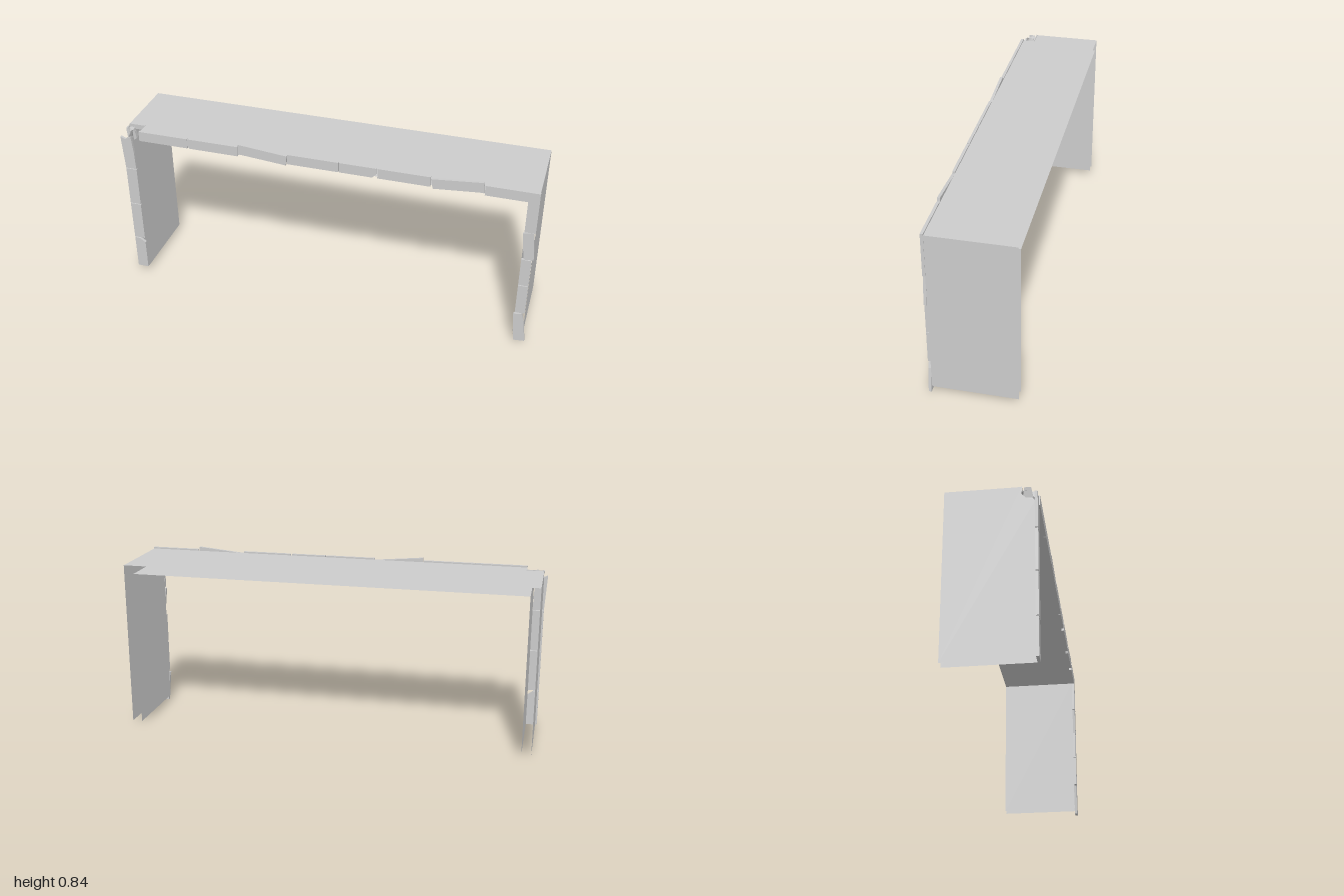
import * as THREE from 'three';

export function createModel() {
  const root = new THREE.Group();
  root.name = 'doorSurround';
  const solid = new THREE.MeshStandardMaterial({ color: 0xcccccc, flatShading: true });
  const sheet = new THREE.MeshStandardMaterial({ color: 0xcccccc, flatShading: true, side: THREE.DoubleSide });

  const outline = (pts) => new THREE.Shape(pts.map(([x, y]) => new THREE.Vector2(x, y)));
  const rect = (x0, x1, y0, y1) => [[x0, y0], [x1, y0], [x1, y1], [x0, y1]];

  function add(name, geometry, material, parent = root) {
    const mesh = new THREE.Mesh(geometry, material);
    mesh.name = name;
    parent.add(mesh);
    return mesh;
  }

  // Thin upright wall, outline given as (z, y)
  const wall = (name, x, pts) =>
    add(name, new THREE.ShapeGeometry(outline(pts)).rotateY(-Math.PI / 2).translate(x, 0, 0), sheet);
  // Thin level slab, outline given as (x, z)
  const slab = (name, y, pts) =>
    add(name, new THREE.ShapeGeometry(outline(pts)).rotateX(Math.PI / 2).translate(0, y, 0), sheet);

  const back = -0.197, front = 0.188, foot = 0.025, top = 0.82, under = 0.78;

  // Lining panels, open at the back, with the right front corner broken away
  const broken = (h) => [[back, foot], [front, foot], [front, 0.75], [0.172, 0.765], [0.15, 0.765], [0.13, 0.785], [0.13, h], [back, h]];
  wall('leftOuterWall', 0.983, rect(back, front, foot, top));
  wall('leftInnerWall', 0.936, rect(back, front, foot, under));
  wall('rightOuterWall', -0.98, broken(top));
  wall('rightInnerWall', -0.935, [[back, foot], [front, foot], [front, 0.75], [0.13, under], [back, under]]);
  slab('topPanel', top, [[-0.98, back], [0.983, back], [0.983, front], [-0.9, front], [-0.9, 0.13], [-0.98, 0.13]]);
  slab('undersidePanel', under, [[-0.935, back], [0.936, back], [0.936, front], [-0.9, front], [-0.9, 0.13], [-0.935, 0.13]]);

  // Front facing blocks, outlines as (x, y)
  const block = (name, pts, parent) =>
    add(name, new THREE.ExtrudeGeometry(outline(pts), { depth: 0.013, bevelEnabled: false }).translate(0, 0, 0.187), solid, parent);

  const groups = {
    lintelBlock: [
      rect(-0.9, -0.655, 0.778, 0.827),
      [[-0.645, 0.778], [-0.405, 0.778], [-0.405, 0.827], [-0.652, 0.827], [-0.66, 0.8]],
      [[-0.405, 0.79], [-0.17, 0.77], [-0.165, 0.818], [-0.4, 0.84]],
      rect(-0.162, 0.08, 0.778, 0.827),
      [[0.085, 0.778], [0.238, 0.778], [0.255, 0.795], [0.255, 0.827], [0.085, 0.827]],
      rect(0.262, 0.503, 0.778, 0.827),
      [[0.515, 0.77], [0.745, 0.79], [0.738, 0.84], [0.505, 0.818]],
    ],
    cornerBlock: [
      [[0.746, 0.778], [0.935, 0.778], [0.935, 0.62], [0.985, 0.62], [0.985, 0.827], [0.746, 0.827]],
    ],
    leftPostBlock: [
      [[0.945, 0.472], [0.991, 0.476], [0.978, 0.62], [0.93, 0.612]],
      rect(0.936, 0.982, 0.327, 0.47),
      rect(0.936, 0.982, 0.167, 0.323),
      [[0.945, 0], [0.996, 0.005], [0.98, 0.125], [0.968, 0.163], [0.93, 0.155]],
    ],
    rightPostBlock: [
      [[-0.988, 0.615], [-0.935, 0.615], [-0.937, 0.7], [-0.945, 0.79], [-0.975, 0.775], [-0.998, 0.785]],
      rect(-0.988, -0.934, 0.412, 0.611),
      rect(-0.988, -0.934, 0.207, 0.408),
      [[-0.988, 0.028], [-0.934, 0.028], [-0.934, 0.18], [-0.96, 0.2], [-0.988, 0.203]],
    ],
  };
  for (const [name, list] of Object.entries(groups)) {
    const group = new THREE.Group();
    group.name = name + 's';
    root.add(group);
    list.forEach((pts, i) => block(name + (i + 1), pts, group));
  }

  // Splinters left in the broken corner: position, size, tilt
  const splinters = [
    [-0.972, 0.79, 0.155, 0.014, 0.055, 0.04, 0.2],
    [-0.955, 0.795, 0.16, 0.012, 0.045, 0.05, -0.4],
    [-0.943, 0.79, 0.155, 0.01, 0.05, 0.035, 0.15],
    [-0.96, 0.805, 0.145, 0.035, 0.012, 0.025, -0.1],
  ];
  splinters.forEach(([x, y, z, w, h, d, tilt], i) => {
    const chip = add('splinter' + (i + 1), new THREE.CylinderGeometry(0.4, 0.65, 1, 5), solid);
    chip.scale.set(w, h, d);
    chip.position.set(x, y, z);
    chip.rotation.z = tilt;
  });

  // Strip bridging the gap above the splinters
  const strip = add('brokenStrip', new THREE.BoxGeometry(0.08, 0.024, 0.004), solid);
  strip.position.set(-0.938, 0.811, 0.13);

  return root;
}
